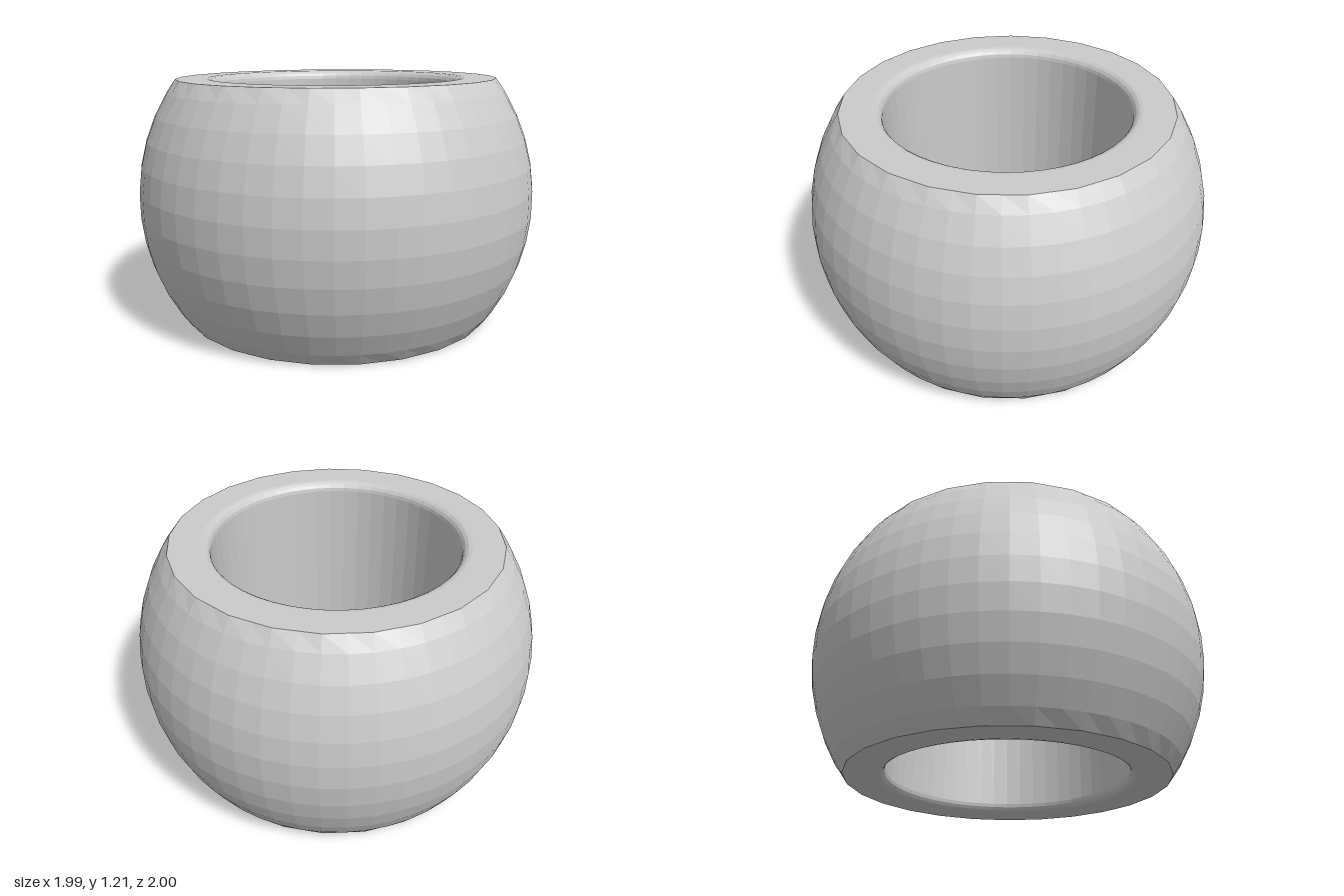
import * as THREE from 'three';

export function createModel() {
  const group = new THREE.Group();
  const segments = 50, half = 0.6, bore = 0.6, fillet = 0.045;
  const profile = [];
  const add = (r, y) => profile.push(new THREE.Vector2(r, y));

  // Spherical outside, from the bottom rim to the top rim
  add(0.8, -half);
  for (let k = -4.5; k <= 4.5; k++) {
    const a = k * Math.PI / 25;
    add(Math.cos(a), Math.sin(a));
  }
  add(0.8, half);
  const topRim = profile.length - 1;

  // Straight bore with a small rounded lip at each end
  for (let k = 0; k <= 4; k++) {
    const a = k * Math.PI / 8;
    add(bore + fillet * (1 - Math.sin(a)), half - fillet * (1 - Math.cos(a)));
  }
  for (let k = 4; k >= 0; k--) {
    const a = k * Math.PI / 8;
    add(bore + fillet * (1 - Math.sin(a)), -half + fillet * (1 - Math.cos(a)));
  }
  add(0.8, -half);

  const geometry = new THREE.LatheGeometry(profile, segments);

  // Every second rim vertex drops onto its chord, so the rims have 25 sides
  const pos = geometry.attributes.position;
  const chord = Math.cos(Math.PI / 25);
  for (let i = 0; i <= segments; i += 2) {
    for (const j of [0, topRim, profile.length - 1]) {
      const v = i * profile.length + j;
      pos.setXYZ(v, pos.getX(v) * chord, pos.getY(v), pos.getZ(v) * chord);
    }
  }

  const bead = new THREE.Mesh(
    geometry,
    new THREE.MeshStandardMaterial({ color: 0xcccccc, flatShading: true })
  );
  bead.name = 'bead';
  bead.rotation.z = 0.006; // very slight lean
  bead.position.y = 0.605;
  group.add(bead);
  group.name = 'roundBead';
  return group;
}
